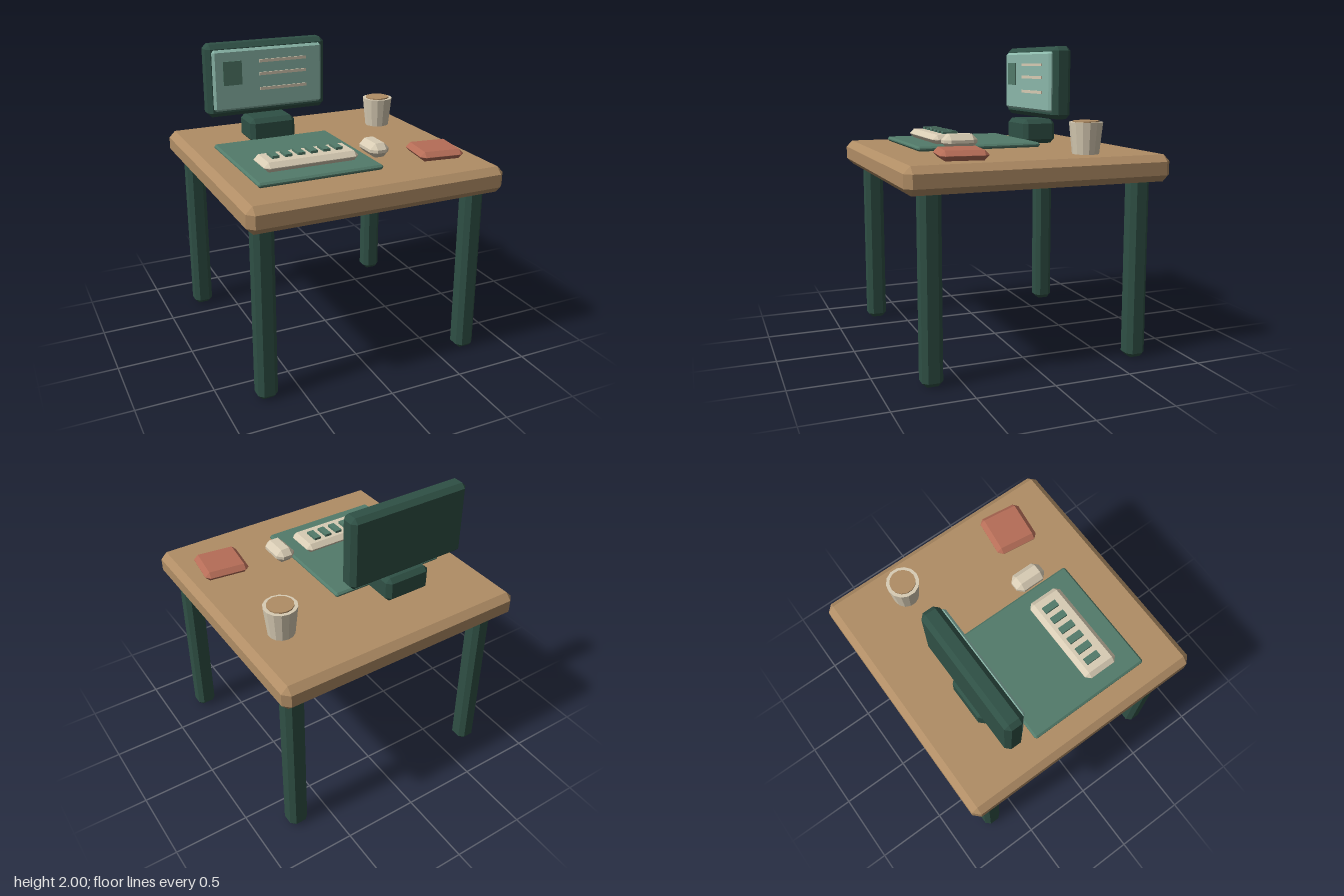
import * as THREE from 'three';
import { ConvexGeometry } from 'three/addons/geometries/ConvexGeometry.js';

const makeMaterial = (name, color) => {
  const m = new THREE.MeshStandardMaterial({ color, flatShading: true });
  m.name = name;
  return m;
};

// Box with every edge cut by a single flat chamfer
function chamferBox(w, h, d, c) {
  c = Math.min(c, Math.min(w, h, d) / 2 - 0.001);
  const half = [w / 2, h / 2, d / 2];
  const points = [];
  for (const sx of [-1, 1]) for (const sy of [-1, 1]) for (const sz of [-1, 1]) {
    for (let axis = 0; axis < 3; axis++) {
      const p = half.map((v, i) => (i === axis ? v : v - c));
      points.push(new THREE.Vector3(p[0] * sx, p[1] * sy, p[2] * sz));
    }
  }
  return new ConvexGeometry(points);
}

export function createModel() {
  const group = new THREE.Group();
  group.name = 'desk';

  const wood = makeMaterial('wood', 0xb08d65);
  const darkGreen = makeMaterial('dark green', 0x2f5045);
  const midGreen = makeMaterial('mid green', 0x527b6a);
  const glass = makeMaterial('screen green', 0x8bb8aa);
  const cream = makeMaterial('cream', 0xd8ccb4);
  const red = makeMaterial('brick red', 0xb56d57);

  const add = (name, geometry, material, x, y, z) => {
    const mesh = new THREE.Mesh(geometry, material);
    mesh.name = name;
    mesh.position.set(x, y, z);
    group.add(mesh);
    return mesh;
  };
  // Chamfered block given by its min and max on each axis
  const block = (name, material, [x0, x1], [y0, y1], [z0, z1], c) =>
    add(name, chamferBox(x1 - x0, y1 - y0, z1 - z0, c), material,
      (x0 + x1) / 2, (y0 + y1) / 2, (z0 + z1) / 2);

  // Table
  block('tabletop', wood, [-0.857, 0.857], [1.155, 1.325], [-0.857, 0.857], 0.043);
  for (const sx of [-1, 1]) for (const sz of [-1, 1]) {
    add('leg', chamferBox(0.13, 1.21, 0.13, 0.03), darkGreen, sx * 0.72, 0.605, sz * 0.685);
  }

  // Monitor
  block('monitorStand', darkGreen, [-0.425, -0.1], [1.325, 1.495], [-0.505, -0.263], 0.03);
  block('monitorBody', darkGreen, [-0.685, 0.167], [1.51, 2], [-0.495, -0.366], 0.03);
  block('screen', glass, [-0.65, 0.13], [1.555, 1.965], [-0.39, -0.343], 0.015);
  add('screenPicture', new THREE.BoxGeometry(0.13, 0.16, 0.009), midGreen, -0.518, 1.81, -0.339);
  for (const y of [1.877, 1.79, 1.688]) {
    add('screenLine', new THREE.BoxGeometry(0.34, 0.02, 0.009), cream, -0.158, y, -0.339);
  }

  // Desk mat, keyboard and mouse
  block('deskMat', midGreen, [-0.69, 0.135], [1.326, 1.358], [-0.28, 0.578], 0.012);
  block('keyboard', cream, [-0.592, 0.04], [1.356, 1.42], [0.2, 0.442], 0.03);
  for (let i = 0; i < 6; i++) {
    add('key', new THREE.BoxGeometry(0.046, 0.025, 0.102), midGreen, -0.493 + i * 0.0856, 1.424, 0.305);
  }
  block('mouse', cream, [0.132, 0.266], [1.346, 1.44], [0.21, 0.434], 0.037);

  // Notebook, turned slightly
  const notebook = add('notebook', chamferBox(0.3, 0.062, 0.295, 0.03), red, 0.581, 1.357, 0.442);
  notebook.rotation.y = -0.125;

  // Cup with its drink
  add('cup', new THREE.CylinderGeometry(0.107, 0.085, 0.2, 14), cream, 0.598, 1.424, -0.38);
  add('drink', new THREE.CylinderGeometry(0.084, 0.084, 0.02, 14), wood, 0.598, 1.522, -0.38);

  return group;
}
